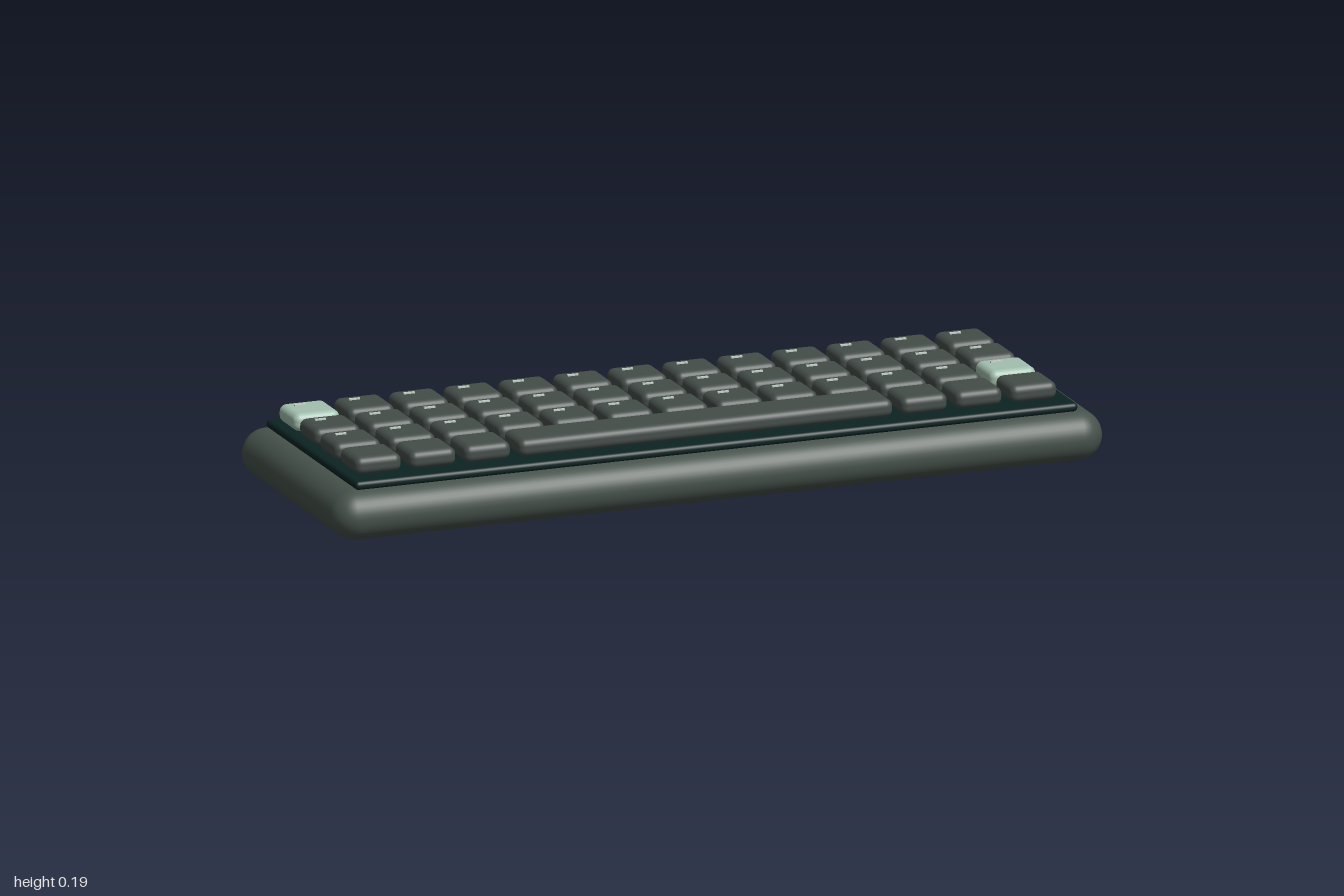
import * as THREE from 'three';
import { RoundedBoxGeometry } from 'three/addons/geometries/RoundedBoxGeometry.js';

export function createModel() {
  const model = new THREE.Group();
  model.name = 'keyboard';

  const material = (name, color) => {
    const m = new THREE.MeshStandardMaterial({ color });
    m.name = name;
    return m;
  };
  const caseGreen = material('case grey green', 0x46524b);
  const plateTeal = material('plate dark teal', 0x0b2423);
  const keyGrey = material('key grey', 0x444d49);
  const mint = material('accent mint', 0xa3c0af);
  const legendPale = material('legend pale', 0xc4d2ca);

  const add = (parent, name, geometry, mat, x, y, z) => {
    const mesh = new THREE.Mesh(geometry, mat);
    mesh.name = name;
    mesh.position.set(x, y, z);
    parent.add(mesh);
  };

  // Pill-edged case and the thin plate on top of it
  add(model, 'case', new RoundedBoxGeometry(2, 0.125, 0.692, 5, 0.0624), caseGreen, 0, 0.0625, 0);
  add(model, 'switchPlate', new RoundedBoxGeometry(1.876, 0.022, 0.596, 3, 0.01), plateTeal, 0, 0.134, 0);

  // Key grid: 12 steps across, 4 rows from back to front
  const pitchX = 0.1418, pitchZ = 0.1347;
  const keyWidth = 0.12, keyDepth = 0.116, keyHeight = 0.045;
  const columnX = (c) => -0.857 + c * pitchX;
  const rowZ = (r) => -0.214 + r * pitchZ;
  const keyGeometry = new RoundedBoxGeometry(keyWidth, keyHeight, keyDepth, 4, 0.018);
  const legendGeometry = new THREE.BoxGeometry(0.028, 0.006, 0.006);
  const keyY = 0.1665;

  const keys = new THREE.Group();
  keys.name = 'keys';
  model.add(keys);

  for (let r = 0; r < 4; r++) {
    for (let c = 0; c < 13; c++) {
      // The space bar takes the middle of the front row
      if (r === 3 && c >= 3 && c <= 9) continue;
      const accent = (r === 0 && c === 0) || (r === 2 && c === 12);
      const x = columnX(c), z = rowZ(r);
      add(keys, accent ? 'accentKey' : 'key', keyGeometry, accent ? mint : keyGrey, x, keyY, z);
      // Small raised dash on the letter rows
      if (r < 3) add(keys, 'legendDash', legendGeometry, legendPale, x - 0.018, 0.19, z - 0.018);
    }
  }

  // Space bar spanning seven columns
  add(keys, 'spaceBar', new RoundedBoxGeometry(6 * pitchX + keyWidth, keyHeight, keyDepth, 4, 0.018),
    keyGrey, columnX(6), keyY, rowZ(3));

  return model;
}
